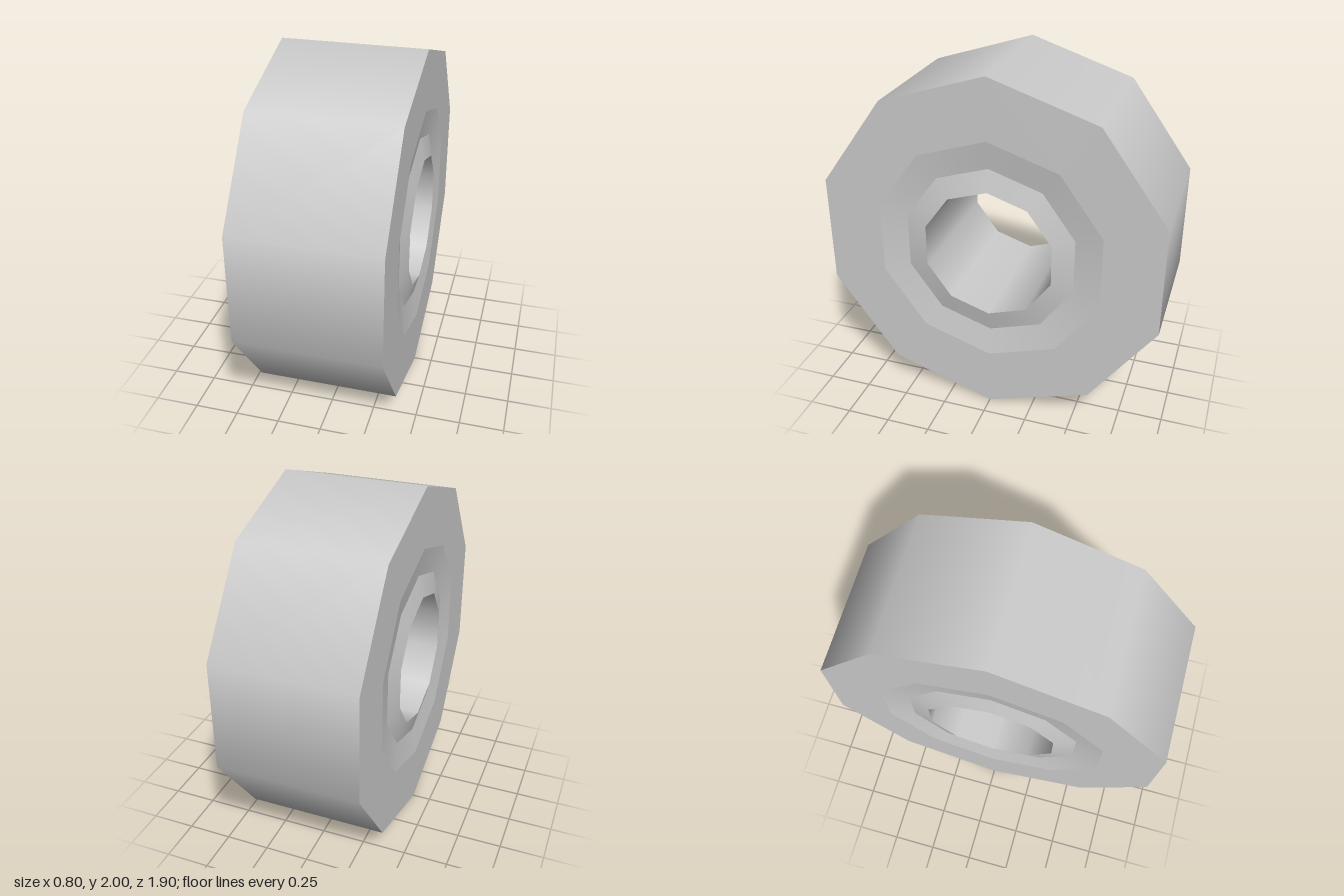
import * as THREE from 'three';

export function createModel() {
  const group = new THREE.Group();
  group.name = 'ring';
  const grey = new THREE.MeshStandardMaterial({ color: 0xcccccc });
  grey.name = 'light grey';

  // One ten-sided band between two [radius, x] points, spun around the x axis.
  // Separate bands keep the rims sharp while each band stays smooth around.
  function band(name, from, to) {
    const points = [from, to].map(([r, x]) => new THREE.Vector2(r, x));
    const geometry = new THREE.LatheGeometry(points, 10, Math.PI / 2);
    geometry.rotateZ(-Math.PI / 2);
    geometry.translate(0, 1, 0);
    const mesh = new THREE.Mesh(geometry, grey);
    mesh.name = name;
    group.add(mesh);
  }

  const half = 0.396, lip = 0.4, valley = 0.37;
  band('tread', [1, -half], [1, half]);
  band('bore', [0.376, lip], [0.376, -lip]);

  // Flat side wall and shallow V groove, mirrored on both sides
  const profile = [[1, half], [0.66, half], [0.5, valley], [0.376, lip]];
  const names = ['SideWall', 'GrooveOuter', 'GrooveInner'];
  names.forEach((name, i) => {
    const a = profile[i], b = profile[i + 1];
    band('left' + name, a, b);
    band('right' + name, [b[0], -b[1]], [a[0], -a[1]]);
  });
  return group;
}
